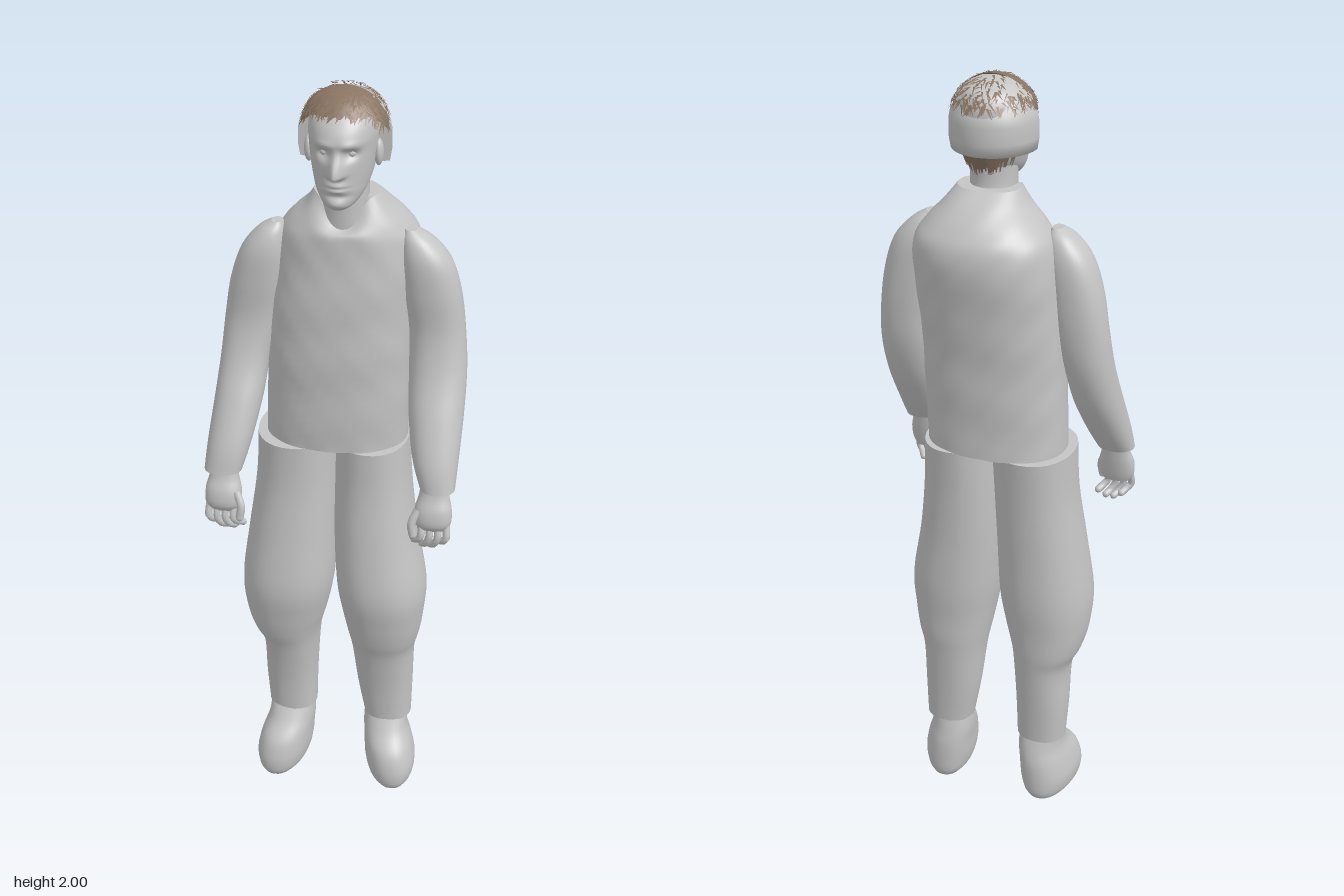
import * as THREE from 'three';
import { mergeGeometries } from 'three/addons/utils/BufferGeometryUtils.js';

const grey = new THREE.MeshStandardMaterial({ color: 0xc4c4c4 });
grey.name = 'plainGrey';
grey.side = THREE.DoubleSide;
const brown = new THREE.MeshStandardMaterial({ color: 0x8a7462 });
brown.name = 'hairBrown';
brown.side = THREE.DoubleSide;

const CX = 0.015; // the head sits slightly off centre
const bump = (d, w) => Math.exp(-(d * d) / (w * w));
const step = THREE.MathUtils.smoothstep;

let seed = 7;
const rand = () => (seed = (seed * 16807) % 2147483647) / 2147483647;

// Smooth value through a column of the section rows
function spline(rows, k, u) {
  const i = Math.min(Math.floor(u), rows.length - 2), f = u - i;
  const at = j => rows[Math.max(0, Math.min(rows.length - 1, j))][k];
  const a = at(i), b = at(i + 1);
  const m0 = (b - at(i - 1)) / 2, m1 = (at(i + 2) - a) / 2;
  return a + f * m0 + f * f * (3 * (b - a) - 2 * m0 - m1) + f * f * f * (2 * (a - b) + m0 + m1);
}

// Body from horizontal sections [y, xMin, xMax, zMin, zMax], lowest first
function loft(rows, { n = 32, sub = 5, power = 2.2, deform } = {}) {
  const pos = [], idx = [], count = (rows.length - 1) * sub + 1;
  const v = new THREE.Vector3();
  const ring = (i, shrink) => {
    const [y, x0, x1, z0, z1] = [0, 1, 2, 3, 4].map(k => spline(rows, k, i / sub));
    for (let j = 0; j < n; j++) {
      const t = (j / n) * Math.PI * 2, c = Math.cos(t), s = Math.sin(t);
      const px = Math.sign(c) * Math.abs(c) ** (2 / power), pz = Math.sign(s) * Math.abs(s) ** (2 / power);
      v.set((x0 + x1) / 2 + shrink * px * (x1 - x0) / 2, y, (z0 + z1) / 2 + shrink * pz * (z1 - z0) / 2);
      if (deform) deform(v, s);
      pos.push(v.x, v.y, v.z);
    }
  };
  // Doubled end rings keep the cap edges sharp
  ring(0, 0); ring(0, 1);
  for (let i = 0; i < count; i++) ring(i, 1);
  ring(count - 1, 1); ring(count - 1, 0);
  for (let r = 0; r < count + 3; r++) {
    if (r === 1 || r === count + 1) continue;
    for (let j = 0; j < n; j++) {
      const k = (j + 1) % n, a = r * n + j, b = r * n + k;
      idx.push(a, a + n, b, b, a + n, b + n);
    }
  }
  const g = new THREE.BufferGeometry();
  g.setAttribute('position', new THREE.Float32BufferAttribute(pos, 3));
  g.setIndex(idx);
  g.computeVertexNormals();
  return g;
}

// Point on the hair dome, phi = 0 at the front
const dome = (phi, th, k = 1) => new THREE.Vector3(
  CX + 0.102 * k * Math.sin(th) * Math.sin(phi),
  1.9 + 0.096 * k * Math.cos(th),
  0.01 + 0.112 * k * Math.sin(th) * Math.cos(phi));

// Loose locks, each a narrow tapering strip
function locks(list) {
  const pos = [];
  for (const [a, b, w] of list) {
    const side = new THREE.Vector3(a.x - CX, 0, a.z).cross(new THREE.Vector3(0, 1, 0)).normalize().multiplyScalar(w);
    const p = a.clone().add(side), q = a.clone().sub(side), r = b.clone().add(side.multiplyScalar(0.4)), s = b;
    for (const c of [p, q, r, q, s, r]) pos.push(c.x, c.y, c.z);
  }
  const g = new THREE.BufferGeometry();
  g.setAttribute('position', new THREE.Float32BufferAttribute(pos, 3));
  g.computeVertexNormals();
  return g;
}

export function createModel() {
  const model = new THREE.Group();
  const add = (name, geometry, material = grey) => {
    const m = new THREE.Mesh(geometry, material);
    m.name = name;
    model.add(m);
    return m;
  };

  // Shirt with a neckline dipping at the front and soft creases
  add('shirt', loft([
    [1.08, -.19, .17, -.155, .10], [1.25, -.185, .175, -.16, .105], [1.4, -.18, .18, -.17, .105],
    [1.54, -.168, .19, -.188, .097], [1.62, -.155, .185, -.188, .09], [1.665, -.125, .158, -.165, .085],
    [1.705, -.085, .122, -.125, .075], [1.74, -.062, .095, -.075, .055],
  ], { n: 48, sub: 7, deform: (v, s) => {
    v.z += 0.0025 * Math.sin(v.y * 47 + v.x * 30) * Math.sin(v.x * 38 + v.y * 9);
    if (s > 0) v.y -= 0.06 * step(v.y, 1.64, 1.74) * s ** 6;
  } }));

  // Sleeves, bent forward at the elbow
  add('rightSleeve', loft([
    [1.03, -.32, -.225, .095, .175], [1.1, -.315, -.205, .045, .16], [1.2, -.305, -.185, -.015, .12],
    [1.3, -.295, -.172, -.05, .075], [1.4, -.285, -.145, -.063, .052], [1.5, -.268, -.13, -.066, .055],
    [1.58, -.24, -.125, -.062, .055], [1.63, -.2, -.13, -.045, .04], [1.652, -.165, -.138, -.02, .018],
  ]));
  add('leftSleeve', loft([
    [1.03, .225, .312, .095, .175], [1.1, .2, .315, .045, .16], [1.2, .182, .318, -.015, .12],
    [1.3, .175, .317, -.05, .075], [1.4, .17, .308, -.063, .052], [1.5, .15, .294, -.066, .055],
    [1.58, .145, .268, -.062, .055], [1.63, .148, .225, -.045, .04], [1.655, .155, .185, -.02, .018],
  ]));

  // Baggy trousers gathered below the knee
  add('rightTrouserLeg', loft([
    [.19, -.2, -.068, -.075, .045], [.3, -.207, -.065, -.085, .055], [.42, -.21, -.058, -.097, .078],
    [.48, -.235, -.05, -.105, .098], [.55, -.252, -.032, -.11, .115], [.65, -.257, -.014, -.12, .13],
    [.8, -.238, -.01, -.125, .115], [.95, -.218, -.008, -.135, .1], [1.08, -.212, -.006, -.15, .1],
  ], { n: 36 }));
  add('leftTrouserLeg', loft([
    [.19, .07, .2, -.075, .045], [.3, .05, .202, -.085, .055], [.42, .036, .205, -.097, .078],
    [.48, .025, .218, -.105, .098], [.55, .012, .228, -.11, .115], [.65, -.004, .233, -.12, .13],
    [.8, -.012, .205, -.125, .115], [.95, -.012, .185, -.135, .1], [1.08, -.01, .175, -.15, .1],
  ], { n: 36 }));

  for (const s of [-1, 1]) {
    const side = s < 0 ? 'right' : 'left';
    const off = s < 0 ? 0 : -0.005;
    const span = (a, b) => (s < 0 ? [-b, -a] : [a + off, b + off]);

    // Shoes, toes turned slightly outward
    add(side + 'Shoe', loft([
      [0, ...span(.105, .205), -.08, .112], [.02, ...span(.09, .217), -.088, .122], [.06, ...span(.08, .222), -.09, .123],
      [.11, ...span(.077, .212), -.088, .108], [.155, ...span(.075, .198), -.078, .07], [.2, ...span(.078, .195), -.065, .04],
    ], { deform: v => { v.x += s * v.z * 0.12; } }));

    // Hand: wrist and palm, four curled fingers and a thumb
    const h = s < 0 ? -.27 : .262;
    add(side + 'Hand', loft([
      [.925, h - .036, h + .036, .135, .175], [.945, h - .046, h + .046, .128, .186], [.98, h - .046, h + .046, .12, .182],
      [1.01, h - .038, h + .038, .115, .168], [1.04, h - .035, h + .035, .11, .16],
    ], { n: 20, sub: 3 }));
    const digit = (points, r) => {
      const curve = new THREE.CatmullRomCurve3(points.map(p => new THREE.Vector3(h + s * p[0], p[1], p[2])));
      const tip = points[points.length - 1];
      return mergeGeometries([
        new THREE.TubeGeometry(curve, 8, r, 8),
        new THREE.SphereGeometry(r, 8, 6).translate(h + s * tip[0], tip[1], tip[2]),
      ]);
    };
    for (let i = 0; i < 4; i++) {
      const x = .034 - i * .021, drop = [.012, .0, .0, .01][i];
      add(side + 'Finger' + (i + 1), digit([[x, .945, .16], [x + .002, .905, .172], [x - .008, .882 + drop, .165], [x - .018, .872 + drop, .15]], .0095));
    }
    add(side + 'Thumb', digit([[-.036, .98, .165], [-.05, .945, .178], [-.046, .915, .182]], .0105));

    // Ear and eyeball
    const ear = add(side + 'Ear', new THREE.SphereGeometry(1, 14, 10));
    ear.scale.set(.011, .032, .018);
    ear.position.set(CX + s * .081, 1.85, .032);
    const eye = add(side + 'Eye', new THREE.SphereGeometry(.011, 14, 10));
    eye.position.set(CX + s * .031, 1.872, .105);
  }

  add('neck', loft([
    [1.64, -.06, .09, -.08, .066], [1.7, -.045, .075, -.062, .068], [1.75, -.042, .072, -.048, .068], [1.82, -.042, .072, -.05, .06],
  ], { power: 2 }));

  // Head with sculpted face
  const headRows = [
    [1.738, .018, .085, .122], [1.75, .04, .02, .134], [1.775, .058, -.025, .134], [1.8, .067, -.06, .134],
    [1.83, .074, -.082, .134], [1.87, .079, -.09, .133], [1.905, .081, -.092, .133], [1.94, .079, -.088, .112],
    [1.968, .062, -.068, .08], [1.982, .03, -.03, .045],
  ].map(([y, r, z0, z1]) => [y, CX - r, CX + r, z0, z1]);
  add('head', loft(headRows, { n: 96, sub: 8, power: 2.1, deform: (v, s) => {
    if (s <= 0) return;
    const x = v.x - CX, ax = Math.abs(x), y = v.y;
    const nose = step(y, 1.811, 1.826) * (1 - step(y, 1.83, 1.89));
    v.z += 0.034 * nose * bump(x, .009 + .007 * nose)
      - 0.014 * bump(ax - .031, .017) * bump(y - 1.871, .013)
      + 0.005 * bump(ax - .03, .025) * bump(y - 1.893, .009)
      + 0.009 * bump(x, .024) * bump(y - 1.795, .013)
      - 0.006 * bump(x, .026) * bump(y - 1.795, .003)
      - 0.004 * bump(x, .03) * bump(y - 1.775, .007)
      + 0.005 * bump(x, .02) * bump(y - 1.757, .01);
  } }));

  // Shell over the back of the head with a band along its lower rim
  const profile = [[.08, -.078], [.104, -.074], [.109, -.045], [.108, -.005], [.104, .015], [.099, .02], [.089, .05], [.065, .074], [.034, .087], [0, .091]]
    .map(p => new THREE.Vector2(...p));
  const shell = add('headShell', new THREE.LatheGeometry(profile, 32, Math.PI / 2, Math.PI));
  const rim = add('headShellFront', new THREE.ShapeGeometry(new THREE.Shape([...profile, ...profile.slice(0, -1).reverse().map(p => new THREE.Vector2(-p.x, p.y))])));
  shell.scale.z = 1.1;
  shell.position.set(CX, 1.9, .02);
  rim.position.copy(shell.position);

  // Hair over the front of the head, lower at the temples
  const hairline = phi => THREE.MathUtils.lerp(1.02, 1.5, step(Math.abs(phi), .6, 1.5));
  const cap = new THREE.SphereGeometry(1, 40, 12, 0, Math.PI, 0, 1);
  const p = cap.attributes.position, uv = cap.attributes.uv;
  const jag = Array.from({ length: 41 }, () => (rand() - .5) * .12);
  for (let i = 0; i < p.count; i++) {
    const phi = ((i % 41) / 40 - .5) * Math.PI, t = Math.floor(i / 41) / 12;
    const q = dome(phi, t * (hairline(phi) + jag[i % 41]));
    p.setXYZ(i, q.x, q.y, q.z);
  }
  cap.computeVertexNormals();
  add('frontHair', cap, brown);

  // Short locks over the crown, sides and nape
  const list = [];
  for (let i = 0; i < 420; i++) {
    const phi = (rand() * 2 - 1) * Math.PI, back = Math.abs(phi) > 1.55;
    const th = .1 + Math.sqrt(rand()) * ((back ? 1.2 : hairline(phi)) - .1);
    list.push([dome(phi, th, 1.005), dome(phi + (rand() - .5) * .35, th + .12 + rand() * .12, 1.02 + rand() * .03), .002 + rand() * .002]);
  }
  for (let i = 0; i < 90; i++) {
    const phi = Math.PI + (rand() * 2 - 1) * 1.3, sx = Math.sin(phi), cz = Math.cos(phi);
    const y = 1.77 + Math.abs(sx) * .02 + rand() * .025;
    list.push([new THREE.Vector3(CX + sx * .075, 1.835, cz * .09), new THREE.Vector3(CX + sx * .06, y, cz * .068), .006]);
  }
  add('hairLocks', locks(list), brown);

  return model;
}
